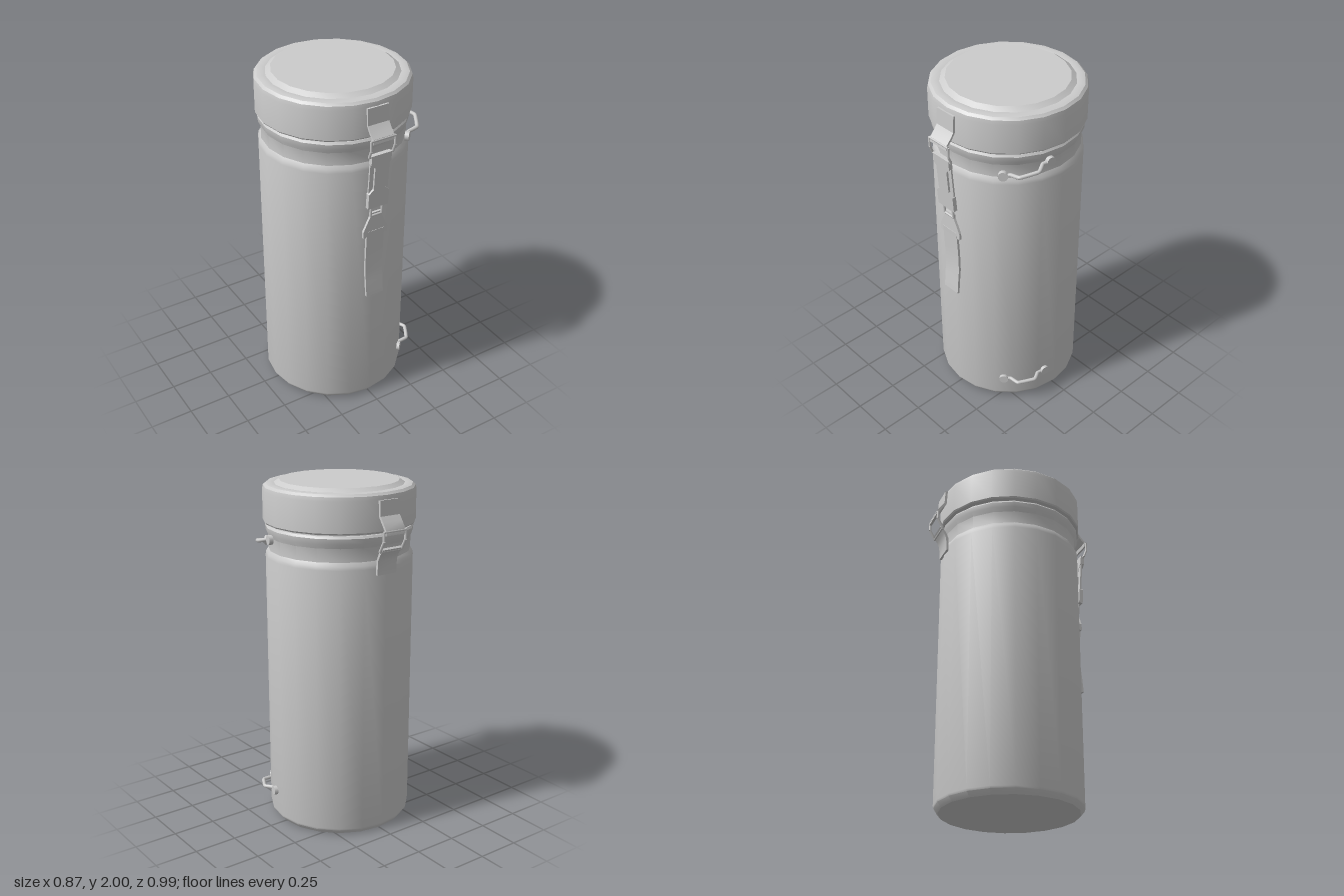
import * as THREE from 'three';
import { toCreasedNormals } from 'three/addons/utils/BufferGeometryUtils.js';

const material = new THREE.MeshStandardMaterial({ color: 0xcccccc });
const V = (x, y, z) => new THREE.Vector3(x, y, z);

function add(parent, name, geometry) {
  const mesh = new THREE.Mesh(geometry, material);
  mesh.name = name;
  parent.add(mesh);
  return mesh;
}

// Turned part: [radius, y] profile from bottom to top, 20 sides
function turned(profile) {
  const points = profile.map(([r, y]) => new THREE.Vector2(r, y));
  return toCreasedNormals(new THREE.LatheGeometry(points, 20), 0.5);
}

// Bent strip: centre line of [z, y] points, swept across the width in x
function strip(line, width, thick) {
  const pts = line.map(([z, y]) => new THREE.Vector2(z, y));
  const offset = (side) => pts.map((p, i) => {
    const d = pts[Math.min(i + 1, pts.length - 1)].clone().sub(pts[Math.max(i - 1, 0)]).normalize();
    return new THREE.Vector2(p.x - d.y * side * thick / 2, p.y + d.x * side * thick / 2);
  });
  const shape = new THREE.Shape([...offset(1), ...offset(-1).reverse()]);
  const geo = new THREE.ExtrudeGeometry(shape, { depth: width, bevelEnabled: false });
  return toCreasedNormals(geo.translate(0, 0, -width / 2).rotateY(-Math.PI / 2), 0.5);
}

// Flat plate: outline of right-hand [x, y] points, mirrored in x
function plate(half, depth) {
  const left = half.map(([x, y]) => [-x, y]).reverse();
  const shape = new THREE.Shape([...half, ...left].map(([x, y]) => new THREE.Vector2(x, y)));
  return new THREE.ExtrudeGeometry(shape, { depth, bevelEnabled: false }).translate(0, 0, -depth / 2);
}

function rod(parent, name, a, b, r, sides = 8) {
  const mesh = add(parent, name, new THREE.CylinderGeometry(r, r, a.distanceTo(b), sides));
  mesh.position.copy(a).lerp(b, 0.5);
  mesh.quaternion.setFromUnitVectors(V(0, 1, 0), b.clone().sub(a).normalize());
  return mesh;
}

// Wire frame joining two straps: two cross bars and bent side bars
function wireFrame(parent, path, halfWidth, r) {
  const [top, bottom] = [path[0], path[path.length - 1]];
  for (const [z, y] of [top, bottom])
    rod(parent, 'frameCrossBar', V(-halfWidth, y, z), V(halfWidth, y, z), r);
  for (const s of [-1, 1])
    for (let i = 0; i < path.length - 1; i++) {
      const [z0, y0] = path[i], [z1, y1] = path[i + 1];
      rod(parent, 'frameSideBar', V(s * halfWidth, y0, z0), V(s * halfWidth, y1, z1), r);
    }
}

function frontLatch() {
  const g = new THREE.Group();
  g.name = 'frontLatch';
  add(g, 'lidStrap', strip([[0.432, 1.945], [0.437, 1.85], [0.458, 1.82], [0.486, 1.79], [0.489, 1.765]], 0.13, 0.012));
  wireFrame(g, [[0.489, 1.785], [0.489, 1.73], [0.472, 1.685]], 0.074, 0.007);

  // Tilted clasp: thin back plate with a waisted raised face
  const clasp = new THREE.Group();
  clasp.name = 'clasp';
  clasp.position.set(0, 1.527, 0.458);
  clasp.rotation.x = 0.07;
  add(clasp, 'claspBack', new THREE.BoxGeometry(0.122, 0.33, 0.01)).position.z = -0.005;
  add(clasp, 'claspFace', plate([[0.064, -0.168], [0.064, -0.075], [0.036, -0.05], [0.036, 0.085], [0.062, 0.11], [0.062, 0.165]], 0.024));
  g.add(clasp);

  // Small link and flared strap holder
  wireFrame(g, [[0.445, 1.37], [0.44, 1.3]], 0.036, 0.007);
  const holder = add(g, 'strapHolder', plate([[0.078, 1.165], [0.078, 1.205], [0.036, 1.29], [0.036, 1.315]], 0.014));
  holder.position.z = 0.432;
  add(g, 'hangingStrap', strip([[0.434, 1.2], [0.427, 1.05], [0.426, 0.93], [0.434, 0.86], [0.442, 0.77]], 0.112, 0.014));
  return g;
}

function backHinge() {
  const g = new THREE.Group();
  g.name = 'backHinge';
  add(g, 'lidStrap', strip([[-0.436, 1.945], [-0.441, 1.86], [-0.462, 1.83], [-0.486, 1.795], [-0.491, 1.765]], 0.13, 0.014));
  wireFrame(g, [[-0.489, 1.785], [-0.489, 1.735], [-0.457, 1.675]], 0.074, 0.008);
  add(g, 'bodyStrap', strip([[-0.465, 1.69], [-0.44, 1.655], [-0.424, 1.62], [-0.42, 1.54]], 0.13, 0.014));
  return g;
}

// Carrying loop on the left side, with a round pad at each end
function sideLoop(y, rise) {
  const g = new THREE.Group();
  g.name = 'sideLoop';
  const xz = [[0.287, 0.305], [0.315, 0.275], [0.375, 0.27], [0.425, 0.18], [0.4, 0.13], [0.412, 0.085]];
  const ts = [0, 0.1, 0.3, 0.65, 0.9, 1];
  const pts = xz.map(([x, z], i) => V(x, y + rise * ts[i], z));
  const curve = new THREE.CatmullRomCurve3(pts, false, 'catmullrom', 0.15);
  add(g, 'loopWire', new THREE.TubeGeometry(curve, 40, 0.011, 8));
  for (const p of [pts[0], pts[5]]) {
    const out = V(p.x, 0, p.z).normalize().multiplyScalar(0.012);
    rod(g, 'loopPad', p.clone().sub(out), p.clone().add(out), 0.027, 12);
  }
  return g;
}

export function createModel() {
  const model = new THREE.Group();
  model.name = 'canister';

  // Body with a shallow waist below its rim
  add(model, 'body', turned([
    [0, 0], [0.392, 0], [0.415, 0.028], [0.418, 0.04], [0.418, 1.575], [0.414, 1.595], [0.402, 1.615],
    [0.402, 1.69], [0.415, 1.715], [0.418, 1.745], [0.41, 1.757], [0.395, 1.757], [0.395, 1.775],
  ]));

  // Lid with a rounded shoulder and raised centre
  add(model, 'lid', turned([
    [0, 1.768], [0.424, 1.768], [0.43, 1.776], [0.43, 1.945], [0.425, 1.967], [0.411, 1.98],
    [0.39, 1.984], [0.365, 1.981], [0.336, 2], [0, 2],
  ]));

  model.add(frontLatch(), backHinge(), sideLoop(1.635, 0.055), sideLoop(0.155, 0.015));
  for (const part of model.children) part.position.x = -0.003;
  return model;
}
